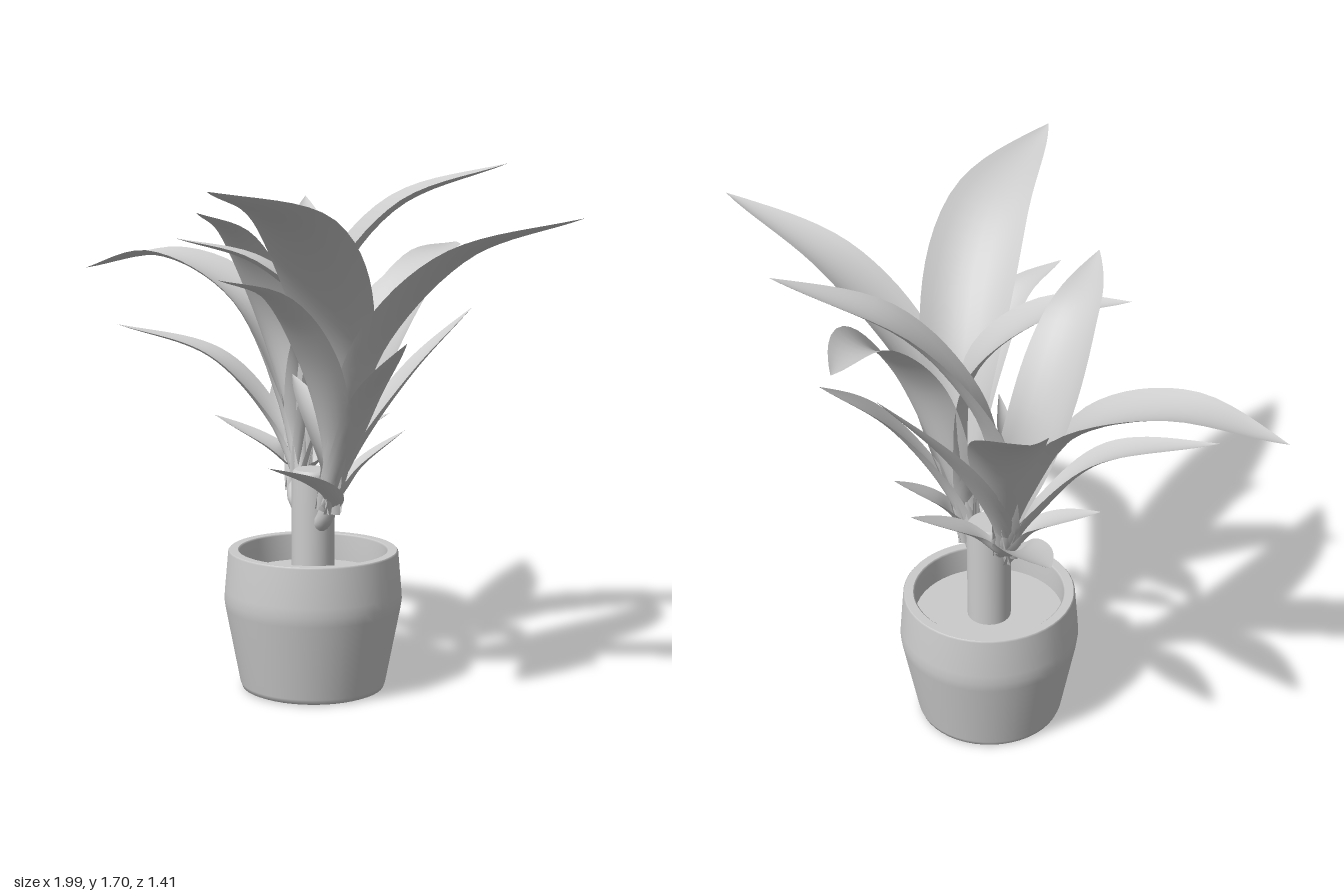
import * as THREE from 'three';

const grey = new THREE.MeshStandardMaterial({ color: 0xcccccc });
const leafGrey = new THREE.MeshStandardMaterial({ color: 0xcccccc, side: THREE.DoubleSide });
const V = (p) => new THREE.Vector3(...p);

function add(parent, geometry, name, material = grey) {
  const mesh = new THREE.Mesh(geometry, material);
  mesh.name = name;
  parent.add(mesh);
  return mesh;
}

// Lathe from [radius, height] pairs
function lathe(points, segments) {
  return new THREE.LatheGeometry(points.map(([r, y]) => new THREE.Vector2(r, y)), segments);
}

// Midrib: rises steeply along the shoot's lean, then arches through the given points
function midrib(base, lean, path) {
  const points = path.map(V);
  const rise = points[0].clone().sub(base).multiply(V([0.35, 0.5, 0.35])).add(base).add(lean);
  return new THREE.CatmullRomCurve3([base, rise, ...points], false, 'centripetal');
}

// Blade swept along a midrib: rolled into a sheath at the base, nearly flat at the tip
function leafGeometry(curve, halfWidth) {
  const rows = 28, cols = 8;
  const span = curve.getPoint(1).sub(curve.getPoint(0));
  const across = new THREE.Vector3(span.z, 0, -span.x).normalize();
  const pos = [], index = [];
  for (let i = 0; i <= rows; i++) {
    const t = i / rows;
    const p = curve.getPointAt(t), tangent = curve.getTangentAt(t);
    const side = across.clone().addScaledVector(tangent, -across.dot(tangent)).normalize();
    const normal = tangent.clone().cross(side).normalize();
    const sheath = 0.055 * (1 - t) ** 2;
    const w = sheath + halfWidth * Math.max(0, Math.sin(Math.PI * t ** 1.3)) ** 0.9;
    const roll = 0.5 + 1.6 * (1 - t) ** 3;
    for (let j = 0; j <= cols; j++) {
      const angle = roll * ((j / cols) * 2 - 1);
      const q = p.clone()
        .addScaledVector(side, (w / roll) * Math.sin(angle))
        .addScaledVector(normal, (w / roll) * (1 - Math.cos(angle)));
      pos.push(q.x, q.y, q.z);
      if (i < rows && j < cols) {
        const a = i * (cols + 1) + j, b = a + cols + 1;
        index.push(a, a + 1, b, a + 1, b + 1, b);
      }
    }
  }
  const g = new THREE.BufferGeometry();
  g.setAttribute('position', new THREE.Float32BufferAttribute(pos, 3));
  g.setIndex(index);
  g.computeVertexNormals();
  return g;
}

// Each leaf: half width, then the arch points and the tip
const rightLeaves = [
  [0.11, [-0.38, 1.25, -0.43], [-0.71, 1.56, -0.71]],
  [0.125, [-0.18, 1.28, -0.36], [-0.03, 1.55, -0.5], [0.27, 1.7, -0.71]],
  [0.115, [-0.44, 1.24, -0.18], [-0.72, 1.375, -0.08], [-1, 1.325, 0.055]],
  [0.115, [-0.27, 1.2, -0.14], [-0.23, 1.46, 0.03], [-0.13, 1.56, 0.26]],
  [0.06, [-0.4, 1.06, -0.03], [-0.7, 1.16, 0.145]],
  [0.07, [-0.16, 1.15, -0.45], [-0.08, 1.41, -0.65]],
  [0.045, [-0.22, 0.77, -0.12], [-0.4, 0.87, -0.03]],
  [0.065, [-0.28, 0.8, -0.28], [-0.56, 0.96, -0.45]],
  [0.05, [-0.16, 1.1, -0.2], [-0.09, 1.22, -0.15]],
  [0.045, [-0.09, 0.77, -0.28], [0, 0.88, -0.45]],
];
const leftLeaves = [
  [0.1, [0.3, 1.15, -0.11], [0.58, 1.43, -0.17], [0.99, 1.575, -0.25]],
  [0.15, [0.21, 1.2, 0.02], [0.35, 1.52, 0.29], [0.46, 1.66, 0.7]],
  [0.08, [0.17, 1.12, 0.06], [0.18, 1.31, 0.22], [0.14, 1.38, 0.4]],
  [0.095, [0.08, 1.2, -0.06], [-0.07, 1.39, 0.06], [-0.31, 1.47, 0.2]],
  [0.125, [0.2, 1.2, -0.26], [0.19, 1.39, -0.43], [0.08, 1.44, -0.67]],
  [0.065, [0.24, 1.06, -0.32], [0.3, 1.25, -0.52]],
  [0.05, [0.3, 1.0, -0.07], [0.5, 1.19, -0.03]],
  [0.05, [-0.01, 0.9, -0.12], [-0.16, 1.02, -0.16]],
  [0.05, [0.1, 0.71, 0], [0.09, 0.78, 0.16]],
  [0.04, [0.13, 0.75, -0.2], [0.2, 0.86, -0.32]],
];

// A shoot: bent stem out of the trunk with its leaves
function shoot(name, base, lean, leaves) {
  const group = new THREE.Group();
  group.name = name;
  const at = (k, dy) => base.clone().addScaledVector(lean, k).add(V([0, dy, 0]));
  const root = V([-0.037, base.y - 0.07, -0.142]);
  const stem = new THREE.CatmullRomCurve3([root, at(-0.8, -0.025), at(0.6, 0.08), at(1.7, 0.22)]);
  add(group, new THREE.TubeGeometry(stem, 16, 0.028, 12), 'shootStem');
  leaves.forEach(([w, ...path], i) =>
    add(group, leafGeometry(midrib(base, lean, path), w), `leaf${i + 1}`, leafGrey));
  return group;
}

export function createModel() {
  const root = new THREE.Group();
  root.name = 'pottedPlant';

  // Pot with a widened shoulder and a recessed soil surface
  const planter = new THREE.Group();
  planter.name = 'planter';
  planter.position.set(-0.037, 0, -0.142);
  root.add(planter);
  add(planter, lathe([
    [0, 0], [0.22, 0], [0.22, 0], [0.232, 0.005], [0.238, 0.02], [0.286, 0.27], [0.29, 0.3], [0.288, 0.33],
    [0.277, 0.455], [0.273, 0.46], [0.273, 0.46], [0.245, 0.46], [0.245, 0.46], [0.24, 0.455], [0.24, 0.36],
  ], 48), 'pot');
  const soil = add(planter, new THREE.CircleGeometry(0.242, 48), 'soil');
  soil.rotation.x = -Math.PI / 2;
  soil.position.y = 0.37;

  // Cut trunk
  add(planter, lathe([
    [0.07, 0.36], [0.07, 0.705], [0.067, 0.717], [0.06, 0.724], [0.06, 0.724], [0, 0.724],
  ], 32), 'trunk');

  // Two leafy shoots growing from the sides of the trunk
  root.add(shoot('rightShoot', V([-0.12, 0.64, -0.15]), V([-0.03, 0, -0.035]), rightLeaves));
  root.add(shoot('leftShoot', V([0.06, 0.6, -0.12]), V([0.025, 0, 0]), leftLeaves));
  return root;
}
